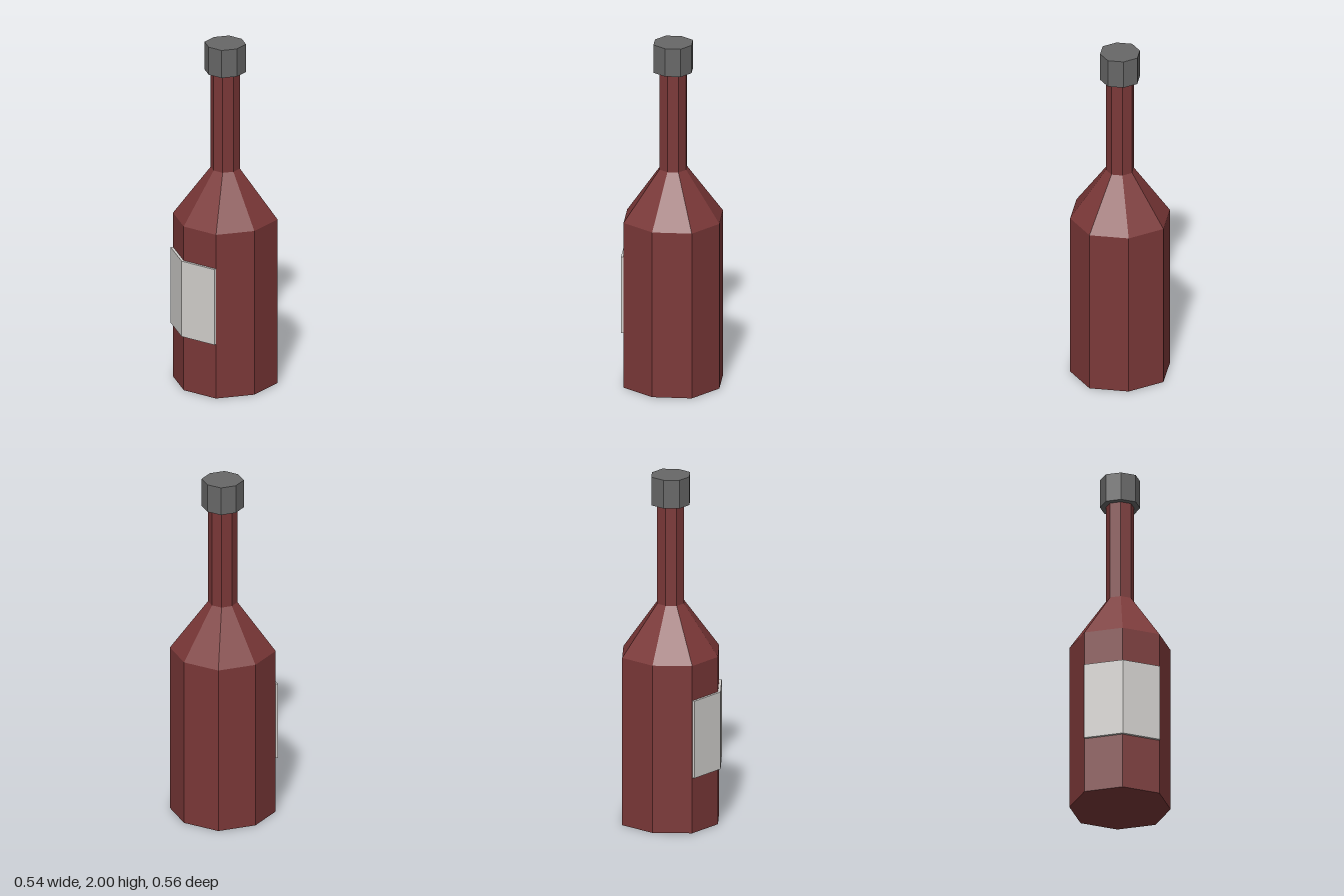
import * as THREE from 'three';

const SIDES = 8;
const START = Math.PI / 6;
const CENTRE_Z = -0.009;

// Faceted turned solid; every second corner is pulled in slightly (a chamfered square plan)
function facetedTurn(profile, material, name) {
  const points = profile.map(([r, y]) => new THREE.Vector2(r, y));
  const geometry = new THREE.LatheGeometry(points, SIDES, START);
  const pos = geometry.attributes.position;
  for (let i = 0; i < pos.count; i++) {
    const k = Math.floor(i / points.length) % 2 ? 0.955 : 1;
    pos.setX(i, pos.getX(i) * k);
    pos.setZ(i, pos.getZ(i) * k + CENTRE_Z);
  }
  const flat = geometry.toNonIndexed();
  flat.computeVertexNormals();
  const mesh = new THREE.Mesh(flat, material);
  mesh.name = name;
  return mesh;
}

export function createModel() {
  const glass = new THREE.MeshStandardMaterial({ color: 0x7b3838, flatShading: true });
  glass.name = 'dark red glass';
  const capGrey = new THREE.MeshStandardMaterial({ color: 0x676767, flatShading: true });
  capGrey.name = 'cap grey';
  const paper = new THREE.MeshStandardMaterial({ color: 0xd2d0cd, flatShading: true });
  paper.name = 'label paper';

  const group = new THREE.Group();
  group.name = 'bottle';

  // Body, sloping shoulder and neck
  group.add(facetedTurn(
    [[0, 0], [0.294, 0], [0.294, 0.972], [0.082, 1.26], [0.082, 1.84]],
    glass, 'bottleBody'));

  // Cap
  group.add(facetedTurn(
    [[0, 1.836], [0.117, 1.836], [0.117, 2], [0, 2]],
    capGrey, 'cap'));

  // Label folded around two front facets, drawn in plan as x, z
  const plan = [
    [0.147, 0.245], [0.147, 0.26], [-0.076, 0.277], [-0.262, 0.151],
    [-0.254, 0.139], [-0.073, 0.262],
  ];
  const shape = new THREE.Shape(plan.map(([x, z]) => new THREE.Vector2(x, -z)));
  const labelGeometry = new THREE.ExtrudeGeometry(shape, { depth: 0.448, bevelEnabled: false });
  labelGeometry.rotateX(-Math.PI / 2);
  labelGeometry.translate(0, 0.322, 0);
  const label = new THREE.Mesh(labelGeometry, paper);
  label.name = 'label';
  group.add(label);

  return group;
}
